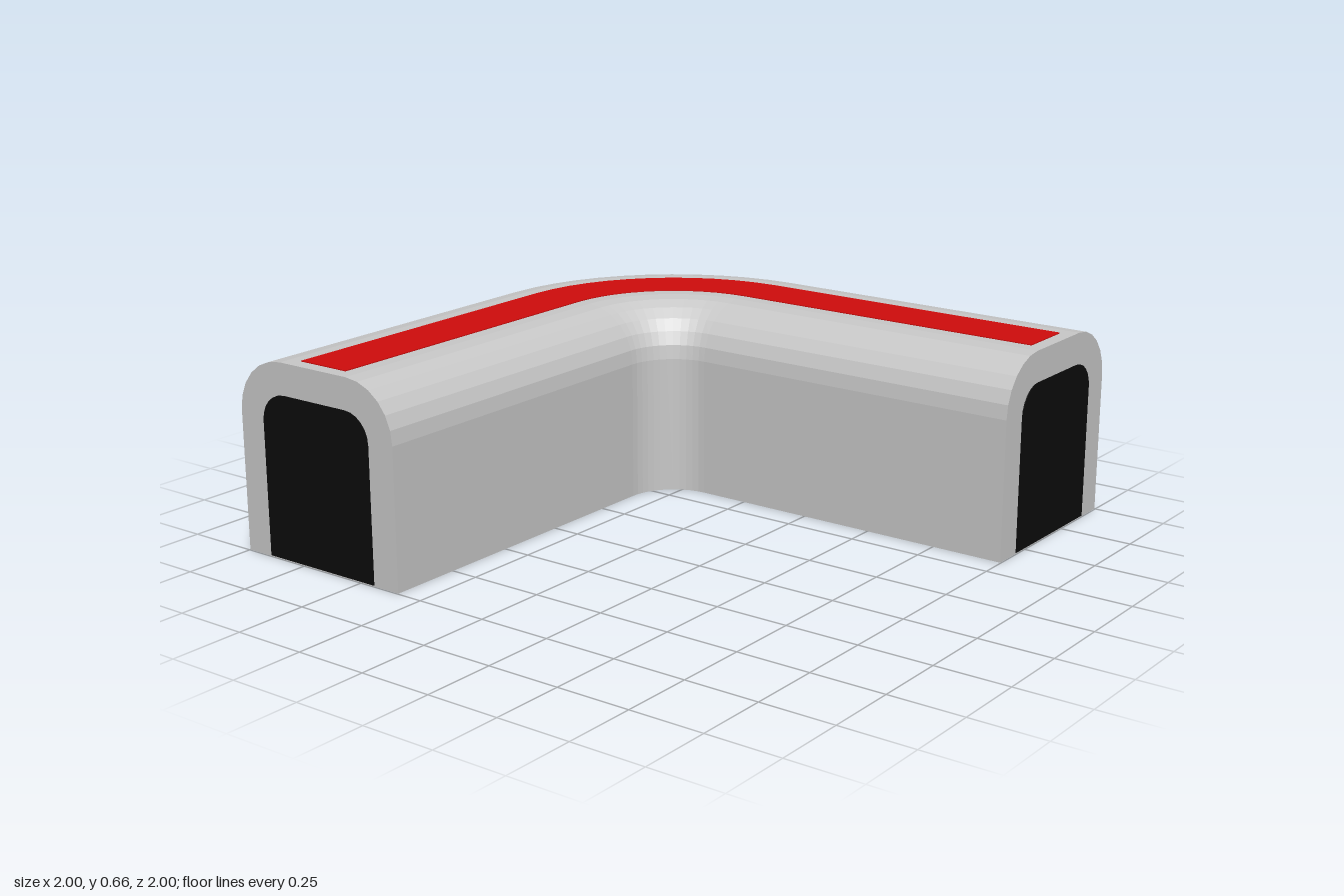
import * as THREE from 'three';

const BEND = 0.17;      // bend centre at (BEND, -BEND)
const RADIUS = 0.502;   // centre line radius of the bend
const BEND_STEPS = 12;

// Cross-section frame: angle 0 runs along x, angle 90 degrees runs along z.
function station(angle, dx = 0, dz = 0) {
  const nx = Math.sin(angle), nz = -Math.cos(angle);
  return { x: BEND + nx * RADIUS + dx, z: -BEND + nz * RADIUS + dz, nx, nz };
}
const onStartLeg = (x) => station(0, x - BEND, 0);
const onEndLeg = (z) => station(Math.PI / 2, 0, z + BEND);

// Full L-shaped path whose two ends stop at the given distance
function elbowPath(end) {
  const path = [onStartLeg(-end)];
  for (let i = 0; i <= BEND_STEPS; i++) path.push(station((i / BEND_STEPS) * Math.PI / 2));
  path.push(onEndLeg(end));
  return path;
}

// Arch outline, counter-clockwise: flat base, upright sides, rounded top corners
function archProfile(half, bottom, top, r, steps) {
  const pts = [[-half, bottom], [half, bottom]];
  for (const side of [1, -1]) {
    for (let i = 0; i <= steps; i++) {
      const a = (i / steps) * Math.PI / 2 + (side < 0 ? Math.PI / 2 : 0);
      pts.push([side * (half - r) + r * Math.cos(a), top - r + r * Math.sin(a)]);
    }
  }
  return pts;
}

// Sweeps a convex profile along the stations and caps both ends
function sweep(name, profile, path, material) {
  const pos = [];
  const rings = path.map((s) => profile.map(([u, y]) => [s.x + s.nx * u, y, s.z + s.nz * u]));
  const tri = (a, b, c) => pos.push(...a, ...b, ...c);
  const n = profile.length;
  for (let i = 0; i < rings.length - 1; i++) {
    const A = rings[i], B = rings[i + 1];
    for (let j = 0; j < n; j++) {
      const k = (j + 1) % n;
      tri(A[j], A[k], B[k]);
      tri(A[j], B[k], B[j]);
    }
  }
  const first = rings[0], last = rings[rings.length - 1];
  for (let j = 1; j < n - 1; j++) {
    tri(first[0], first[j + 1], first[j]);
    tri(last[0], last[j], last[j + 1]);
  }
  const geometry = new THREE.BufferGeometry();
  geometry.setAttribute('position', new THREE.Float32BufferAttribute(pos, 3));
  geometry.computeVertexNormals();
  const mesh = new THREE.Mesh(geometry, material);
  mesh.name = name;
  return mesh;
}

function paint(name, color) {
  const material = new THREE.MeshStandardMaterial({ color, flatShading: true });
  material.name = name;
  return material;
}

export function createModel() {
  const grey = paint('light grey', 0xc8c8c8);
  const red = paint('red', 0xd00c0c);
  const black = paint('black', 0x0c0c0c);
  const group = new THREE.Group();
  group.name = 'tunnelElbow';

  // Curved tunnel body
  group.add(sweep('tunnelBody', archProfile(0.328, 0, 0.656, 0.185, 6), elbowPath(0.997), grey));

  // Stripe along the roof
  const stripe = [[-0.096, 0.652], [0.096, 0.652], [0.096, 0.659], [-0.096, 0.659]];
  group.add(sweep('roofStripe', stripe, elbowPath(0.95), red));

  // Dark openings at both ends
  const opening = archProfile(0.227, 0.004, 0.55, 0.095, 6);
  group.add(sweep('sideOpening', opening, [onStartLeg(-1), onStartLeg(-0.994)], black));
  group.add(sweep('frontOpening', opening, [onEndLeg(0.994), onEndLeg(1)], black));

  return group;
}
